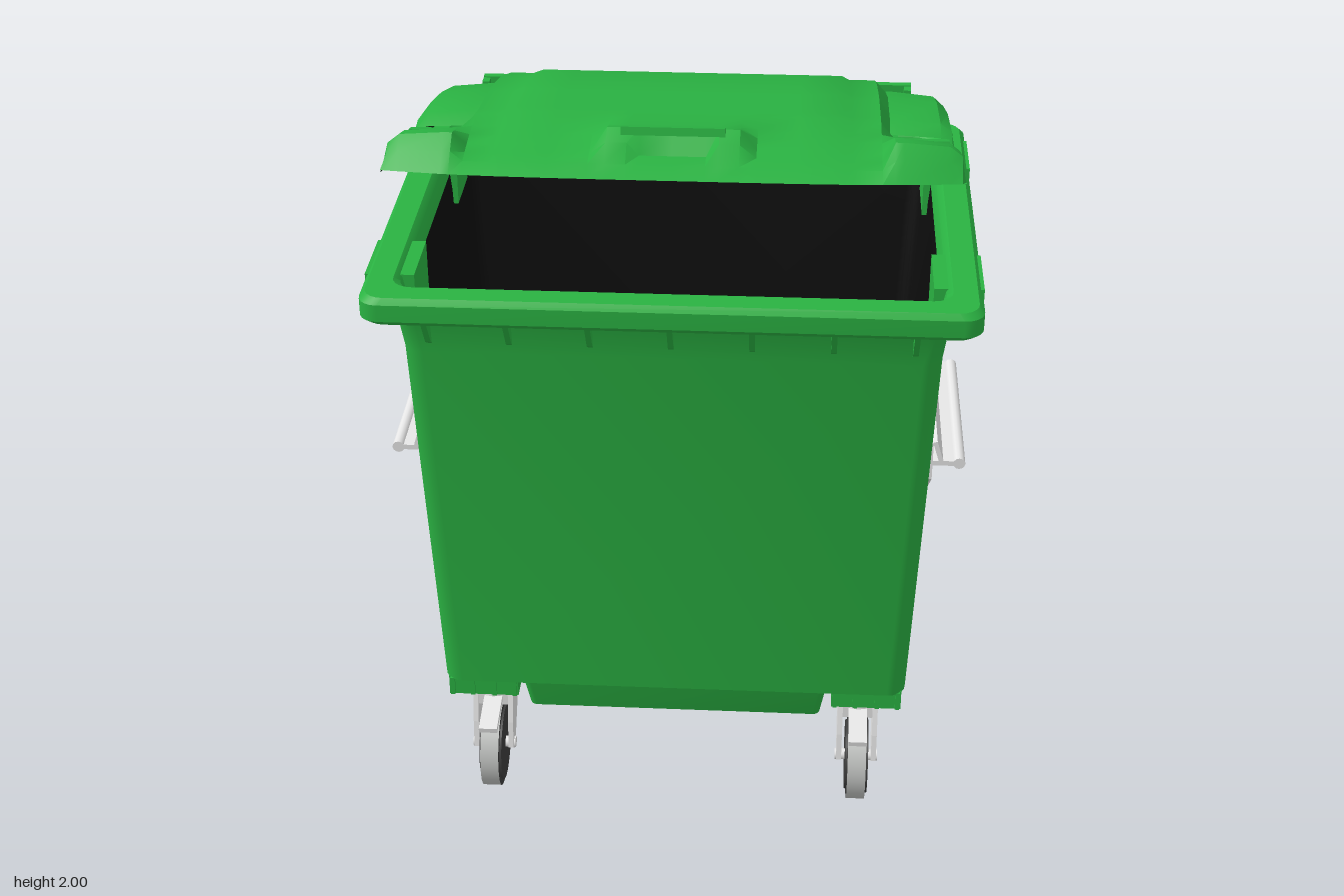
import * as THREE from 'three';
import { toCreasedNormals } from 'three/addons/utils/BufferGeometryUtils.js';

const mat = (name, color) => {
  const m = new THREE.MeshStandardMaterial({ color });
  m.name = name;
  return m;
};

// Piecewise linear lookup in [position, value] pairs
function lerpTable(t, s) {
  for (let i = 1; i < t.length; i++) {
    if (s <= t[i][0]) {
      const k = (s - t[i - 1][0]) / (t[i][0] - t[i - 1][0]);
      return t[i - 1][1] + k * (t[i][1] - t[i - 1][1]);
    }
  }
  return t[t.length - 1][1];
}

function surface(pos, idx) {
  const g = new THREE.BufferGeometry();
  g.setAttribute('position', new THREE.Float32BufferAttribute(pos, 3));
  g.setIndex(idx);
  return toCreasedNormals(g, 0.6);
}

// Loft through rounded rectangles: [y, half width, front z, back z, corner radius]
function loft(rings, capBottom = false, capTop = false) {
  const pos = [], idx = [], seg = 5, n = 4 * (seg + 1);
  for (const [y, x, zf, zb, r] of rings) {
    const centres = [[x - r, zf - r], [r - x, zf - r], [r - x, zb + r], [x - r, zb + r]];
    centres.forEach(([cx, cz], q) => {
      for (let i = 0; i <= seg; i++) {
        const a = (q + i / seg) * Math.PI / 2;
        pos.push(cx + r * Math.cos(a), y, cz + r * Math.sin(a));
      }
    });
  }
  for (let j = 0; j < rings.length - 1; j++) for (let i = 0; i < n; i++) {
    const a = j * n + i, b = j * n + (i + 1) % n;
    idx.push(a, a + n, b, b, a + n, b + n);
  }
  const cap = (j, top) => {
    const c = pos.length / 3;
    pos.push(0, rings[j][0], (rings[j][2] + rings[j][3]) / 2);
    for (let i = 0; i < n; i++) {
      const a = j * n + i, b = j * n + (i + 1) % n;
      idx.push(c, top ? b : a, top ? a : b);
    }
  };
  if (capBottom) cap(0, false);
  if (capTop) cap(rings.length - 1, true);
  return surface(pos, idx);
}

function extrude(points, depth) {
  const shape = new THREE.Shape(points.map(p => new THREE.Vector2(...p)));
  return new THREE.ExtrudeGeometry(shape, { depth, bevelEnabled: false }).translate(0, 0, -depth / 2);
}

// Lid height above its hinge plane
const CROWN = [[0, .03], [.11, .06], [.145, .145], [.35, .16], [.56, .155], [.8, .12], [.95, .075], [1.06, .03], [1.1, 0]];
const FLANGE = [[0, .025], [.11, .045], [.145, .105], [.35, .115], [.56, .085], [.6, .05], [.77, .05], [.81, .075],
  [.93, .09], [1.02, .09], [1.08, .03], [1.1, 0]];
const HUMP = [[0, 0], [.81, 0], [.93, .025], [.98, .045], [1.02, .03], [1.06, 0], [1.1, 0]];
function lidHeight(x, s) {
  const m = lerpTable(CROWN, s), f = lerpTable(FLANGE, s);
  if (x < .18) return m + (x < .1 && s > 1 ? 0 : lerpTable(HUMP, s));
  if (x < .42) return m;
  if (x < .51) return m * .93;
  if (x < .6) return f;
  if (x < .665) return f * .9;
  return x < .695 ? f * .65 : 0;
}

// Outer skin, or the inner skin just below it facing down
function lidGeometry(inner) {
  const half = [0, .08, .11, .16, .2, .3, .41, .43, .5, .53, .55, .66, .69, .7];
  const xs = [...half.slice(1).reverse().map(v => -v), ...half];
  const ss = [0, .11, .145, .25, .35, .56, .6, .77, .81, .88, .93, .98, 1.02, 1.06, 1.1];
  const pos = [], idx = [];
  for (const s of ss) for (const x of xs) {
    const ax = Math.abs(x), back = .06 * Math.max(0, (s - .93) / .17) * (ax / .7) ** 4;
    pos.push(x, lidHeight(ax, s) - (inner ? .006 : 0), s - back);
  }
  for (let j = 0; j < ss.length - 1; j++) for (let i = 0; i < xs.length - 1; i++) {
    const mx = Math.abs(xs[i] + xs[i + 1]) / 2, ms = (ss[j] + ss[j + 1]) / 2;
    // openings in the two corner grips
    if (mx > .54 && mx < .66 && ((ms > .6 && ms < .77) || (ms > .81 && ms < .93))) continue;
    const a = j * xs.length + i, b = a + xs.length;
    if (inner) idx.push(a, a + 1, b, a + 1, b + 1, b);
    else idx.push(a, b, a + 1, a + 1, b, b + 1);
  }
  return surface(pos, idx);
}

export function createModel() {
  const model = new THREE.Group();
  model.name = 'wheeledContainer';
  const green = mat('green plastic', 0x2ab242);
  const darkGreen = mat('dark green underside', 0x083010);
  const black = mat('black interior', 0x0c0c0c);
  const steel = mat('light steel', 0xececec);
  const grey = mat('light grey tread', 0xbfc1bf);
  const rubber = mat('dark rubber', 0x3c3c3c);

  const add = (parent, name, geo, m, x = 0, y = 0, z = 0) => {
    const mesh = new THREE.Mesh(geo, m);
    mesh.name = name;
    mesh.position.set(x, y, z);
    parent.add(mesh);
    return mesh;
  };
  const box = (parent, name, m, w, h, d, x, y, z) => add(parent, name, new THREE.BoxGeometry(w, h, d), m, x, y, z);

  // Tapered tub, overhanging rim and its inner lip
  add(model, 'tubAndRim', loft([
    [.355, .63, .475, -.42, .05], [1.42, .67, .54, -.455, .05], [1.5, .68, .555, -.46, .05],
    [1.535, .69, .565, -.47, .05], [1.537, .745, .62, -.53, .05], [1.55, .758, .632, -.542, .05],
    [1.595, .758, .632, -.542, .05], [1.61, .745, .62, -.53, .05], [1.61, .685, .56, -.475, .05],
    [1.595, .67, .545, -.46, .05], [1.55, .66, .535, -.45, .05]], true), green);
  add(model, 'interior', loft([
    [1.55, .66, .535, -.45, .05], [1.5, .655, .53, -.43, .05], [.4, .61, .45, -.385, .05],
    [.4, .02, .05, .01, .01]], false, true), black);

  // Bulged back panel
  add(model, 'backPanel', loft([
    [.38, .57, -.405, -.428, .01], [.58, .585, -.41, -.455, .02], [.64, .59, -.41, -.474, .025],
    [1.2, .61, -.435, -.488, .02], [1.26, .61, -.435, -.48, .02], [1.38, .6, -.44, -.456, .008]], true, true), green);

  // Cross-shaped floor leaving room for the castors
  add(model, 'floorLengthwise', loft([[.26, .4, .445, -.375, .02], [.358, .415, .47, -.41, .02]], true), green);
  add(model, 'floorCrosswise', loft([[.26, .615, .21, -.23, .02], [.358, .628, .225, -.25, .02]], true), green);

  // Gussets below the rim
  const gussetGeo = extrude([[-.03, 1.54], [-.03, 1.43], [.01, 1.46], [.065, 1.54]], .014);
  const gusset = (x, z, turn) => { add(model, 'rimGusset', gussetGeo, green, x, 0, z).rotation.y = turn; };
  for (let i = -3; i <= 3; i++) {
    gusset(i * .2, .55, -Math.PI / 2);
    gusset(i * .2, -.46, Math.PI / 2);
  }

  for (const side of [-1, 1]) {
    // Lid-catch pockets and end gussets on the side rims
    const catchGeo = extrude([[.64, 1.46], [.69, 1.46], [.745, 1.49], [.763, 1.5], [.763, 1.6], [.64, 1.6]], .19);
    for (const z of [.38, -.335]) {
      add(model, 'rimPocket', catchGeo, green, 0, 0, z).rotation.y = side < 0 ? Math.PI : 0;
    }
    for (const z of [.26, -.45]) gusset(side * .68, z, side < 0 ? Math.PI : 0);

    // Steel lifting bracket with projecting lip
    const bracket = new THREE.Group();
    bracket.name = 'liftBracket';
    model.add(bracket);
    const plate = add(bracket, 'bracketPlate',
      extrude([[.31, 1.06], [.31, .95], [.12, .8], [-.1, .8], [-.23, .95], [-.23, 1.06]], .03), steel, side * .66);
    plate.rotation.y = -Math.PI / 2;
    const belly = add(bracket, 'bracketBelly',
      extrude([[.2, 1], [.09, .83], [-.06, .83], [-.13, 1]], .03), steel, side * .668);
    belly.rotation.y = -Math.PI / 2;
    box(bracket, 'bracketLip', steel, .09, .014, .54, side * .705, 1, .04);
    const curl = add(bracket, 'bracketCurl', new THREE.CylinderGeometry(.016, .016, .54, 12), steel, side * .745, 1, .04);
    curl.rotation.x = Math.PI / 2;
    const flare = box(bracket, 'bracketFlare', steel, .012, .06, .54, side * .688, 1.035, .04);
    flare.rotation.z = side * .3;

    // Castors, front pair with brake pedals
    for (const [front, stemZ, x] of [[true, .37, .505], [false, -.34, .515]]) {
      const castor = new THREE.Group();
      castor.name = front ? 'frontCastor' : 'rearCastor';
      castor.position.set(side * x, 0, stemZ);
      model.add(castor);
      box(castor, 'castorMount', green, .19, .06, .15, side * .02, .33, front ? .015 : .01);
      for (const o of [-.085, -.03, .03, .085]) {
        box(castor, 'mountRib', green, .012, .055, .165, side * .02 + o, .33, front ? .015 : .01);
      }
      add(castor, 'swivelHead', new THREE.CylinderGeometry(.06, .065, .03, 20), steel, 0, .285, 0);
      box(castor, 'forkBridge', steel, .1, .035, .12, 0, .26, 0);
      for (const o of [-.048, .048]) {
        const fork = add(castor, 'forkLeg',
          extrude([[-.065, .285], [.065, .285], [.085, .2], [.095, .12], [.07, .1], [.045, .12], [-.01, .19]], .014), steel, o);
        fork.rotation.y = -Math.PI / 2;
      }
      const turn = (mesh) => { mesh.rotation.z = Math.PI / 2; };
      turn(add(castor, 'tyre', new THREE.CylinderGeometry(.122, .122, .05, 32), [grey, rubber, rubber], 0, .122, .07));
      turn(add(castor, 'wheelDisc', new THREE.CylinderGeometry(.095, .105, .062, 28), rubber, 0, .122, .07));
      turn(add(castor, 'axle', new THREE.CylinderGeometry(.016, .016, .118, 12), steel, 0, .122, .07));
      if (front) box(castor, 'brakePedal', steel, .05, .015, .13, 0, .257, .12).rotation.x = .15;
    }
  }

  // Propped-open lid, pivoting at the back rim
  const lid = new THREE.Group();
  lid.name = 'lid';
  lid.position.set(0, 1.62, -.5);
  lid.rotation.x = -.267;
  model.add(lid);
  add(lid, 'lidShell', lidGeometry(false), green);
  add(lid, 'lidUnderside', lidGeometry(true), darkGreen);
  box(lid, 'lidHandle', green, .25, .02, .03, 0, .104, 1.0);
  box(lid, 'lidRearEdge', green, 1.38, .03, .04, 0, .012, -.01);
  for (const side of [-1, 1]) {
    box(lid, 'cornerGripBar', green, .13, .03, .04, side * .605, .052, .79);
    box(lid, 'cornerGripPan', green, .12, .006, .14, side * .605, .03, .87);
    box(lid, 'cornerGripPanBase', darkGreen, .12, .004, .14, side * .605, .024, .87);
  }

  // Hinge rail behind the rim
  box(model, 'hingeRail', green, 1.22, .026, .022, 0, 1.675, -.622);
  for (const x of [-.6, -.2, .19, .6]) {
    const end = Math.abs(x) > .5;
    box(model, 'hingeArm', green, end ? .02 : .012, .026, .12, x, 1.645, -.565);
    box(model, 'hingeArmTip', green, end ? .02 : .012, end ? .11 : .05, .05, x, end ? 1.63 : 1.66, -.605);
    box(model, 'hingeLug', green, .03, .05, .05, x, 1.615, -.515);
  }
  return model;
}
